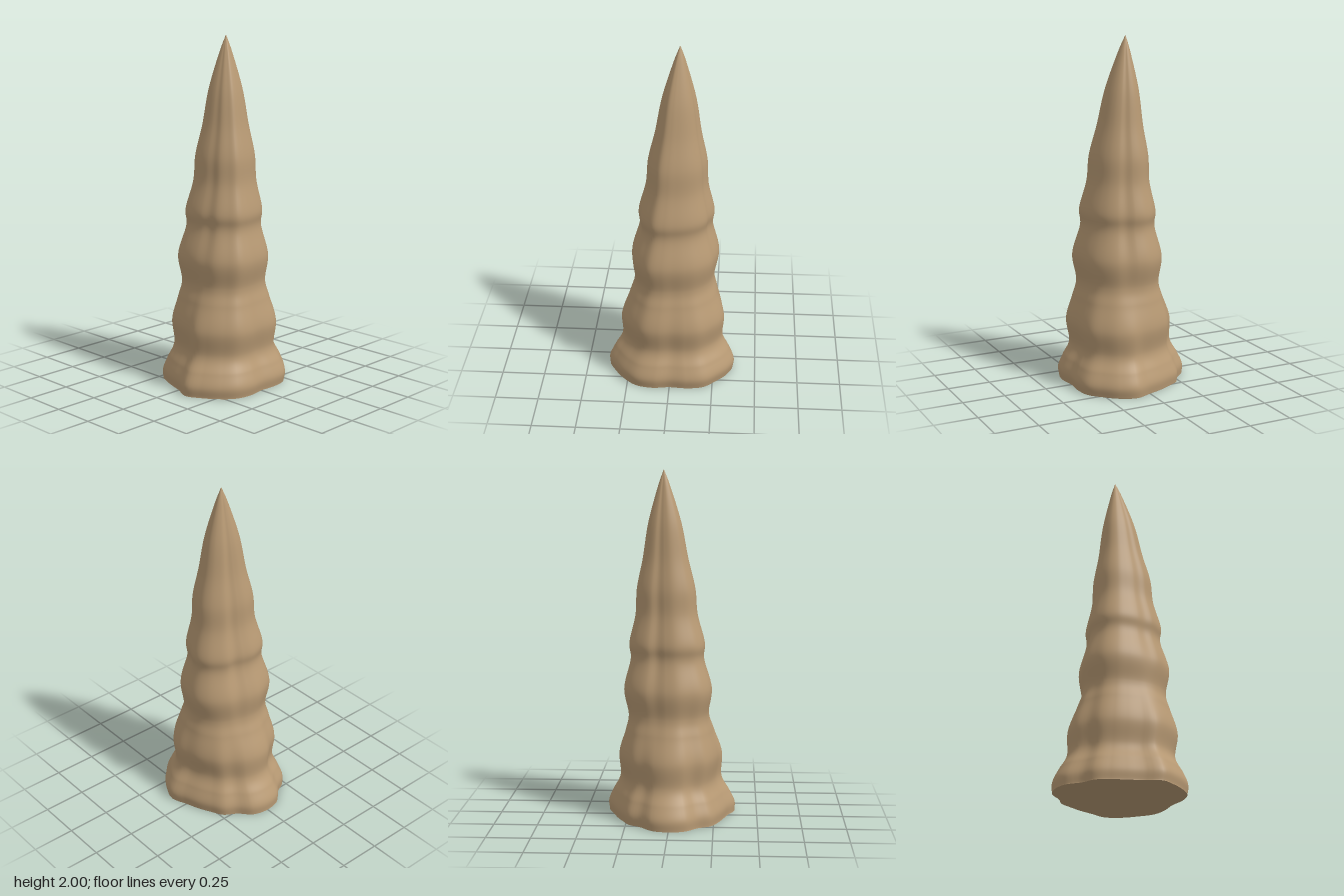
import * as THREE from 'three';
import { ParametricGeometry } from 'three/addons/geometries/ParametricGeometry.js';

// Half-width of the spire (x) by height (y): swelling bulges that taper to the tip
const profile = curve([
  [.368, 0], [.371, .06], [.342, .13], [.3, .22], [.309, .36], [.267, .5], [.241, .6], [.257, .75],
  [.211, .92], [.215, 1.02], [.177, 1.18], [.166, 1.33], [.129, 1.5], [.094, 1.7], [.037, 1.9], [.001, 2],
]);

// Relative radius of the lumpy outline at even angles, from +x round through +z
const footOutline = outline([
  .91, 1.035, 1.05, 1.04, 1.06, 1, .95, 1.02, 1.07, 1.05, 1.036, 1.04,
  .895, .857, .868, .91, .88, .98, 1.003, .975, .87, .885, .85, .863,
]);
const shaftOutline = outline([
  .98, .9, .93, .94, .937, .94, .965, 1.03, 1.1, 1.05, 1.03, .966,
  1, 1.04, 1.1, 1.125, 1.08, 1.03, .95, .89, .97, 1, 1.03, 1.03,
]);

function curve(points, closed = false) {
  return new THREE.CatmullRomCurve3(points.map(([x, y, z = 0]) => new THREE.Vector3(x, y, z)), closed, 'catmullrom');
}

function outline(radii) {
  return curve(radii.map((r, i) => {
    const a = i / radii.length * Math.PI * 2;
    return [r * Math.cos(a), 0, r * Math.sin(a)];
  }), true);
}

// Point on the rock: u goes round, v goes up
function rockSurface(u, v, target) {
  const { x: radius, y } = profile.getPoint(v);
  const blend = THREE.MathUtils.smoothstep(y, 0, 1);
  target.copy(footOutline.getPoint(1 - u)).lerp(shaftOutline.getPoint(1 - u), blend);
  // The axis leans slightly to the left and bows forward
  const leanX = .042 * (y / 2) ** .8;
  const bowZ = .006 * y + .035 * Math.sin(Math.PI * y / 2);
  target.set(leanX + target.x * radius, y, bowZ + target.z * radius * .97);
}

// Flat base inside the rock's lowest ring, from the middle to the rim
function baseSurface(u, v, target) {
  rockSurface(u, 0, target);
  target.multiplyScalar(v);
}

export function createModel() {
  const group = new THREE.Group();
  group.name = 'stalagmite';
  const stone = new THREE.MeshStandardMaterial({ color: 0xb89a74 });
  stone.name = 'tan stone';

  const spire = new THREE.Mesh(new ParametricGeometry(rockSurface, 96, 140), stone);
  spire.name = 'rockSpire';

  const baseGeometry = new ParametricGeometry(baseSurface, 96, 1);
  baseGeometry.computeVertexNormals();
  const underside = new THREE.Mesh(baseGeometry, stone);
  underside.name = 'underside';

  group.add(spire, underside);
  return group;
}
